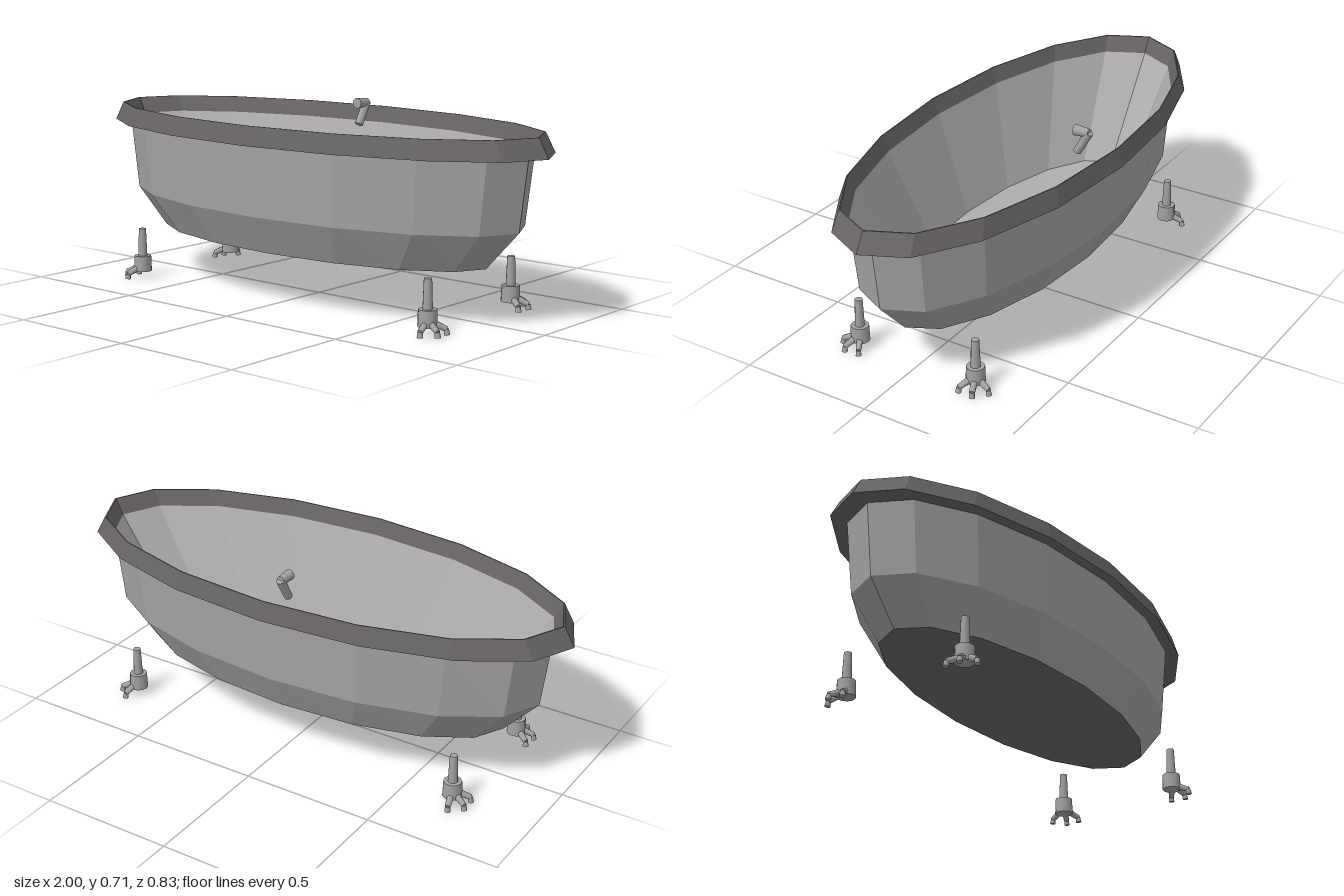
import * as THREE from 'three';

function flatColour(name, color) {
  const material = new THREE.MeshStandardMaterial({ color });
  material.name = name;
  return material;
}
const enamel = flatColour('enamel', 0xa6a4a6);
const innerEnamel = flatColour('innerEnamel', 0xafadaf);
const darkGrey = flatColour('darkGrey', 0x696567);
const metal = flatColour('metal', 0xa2a2a2);

// Faceted oval shell through rings of [half length x, half width z, height y]
function ovalShell(name, rings, material) {
  const sides = 16;
  const profile = rings.map(([rx, , y]) => new THREE.Vector2(rx, y));
  const lathe = new THREE.LatheGeometry(profile, sides);
  const pos = lathe.attributes.position;
  for (let i = 0; i < pos.count; i++) {
    const [rx, rz, y] = rings[i % rings.length];
    const a = (Math.floor(i / rings.length) / sides) * Math.PI * 2;
    pos.setXYZ(i, rx * Math.sin(a), y, rz * Math.cos(a));
  }
  const geometry = lathe.toNonIndexed();
  geometry.computeVertexNormals();
  const mesh = new THREE.Mesh(geometry, material);
  mesh.name = name;
  return mesh;
}

// Tapered rod between two points
function rod(name, from, to, r0, r1, sides = 12) {
  const a = new THREE.Vector3(...from);
  const b = new THREE.Vector3(...to);
  const dir = b.clone().sub(a);
  const mesh = new THREE.Mesh(new THREE.CylinderGeometry(r1, r0, dir.length(), sides), metal);
  mesh.position.copy(a).add(b).multiplyScalar(0.5);
  mesh.quaternion.setFromUnitVectors(new THREE.Vector3(0, 1, 0), dir.normalize());
  mesh.name = name;
  return mesh;
}

// Claw foot: slim shaft, thick ankle and three bent toes pointing outwards
function clawFoot(sx, sz) {
  const foot = new THREE.Group();
  foot.name = 'clawFoot';
  foot.add(rod('shaft', [0, 0.08, 0], [0, 0.193, 0], 0.018, 0.014));
  foot.add(rod('ankle', [0, 0.027, 0], [0, 0.087, 0], 0.035, 0.033));
  for (const degrees of [75, 22, -30]) {
    const a = THREE.MathUtils.degToRad(degrees);
    const at = (r, y) => [sx * r * Math.cos(a), y, sz * r * Math.sin(a)];
    foot.add(rod('toe', at(0.015, 0.042), at(0.066, 0.02), 0.013, 0.01, 8));
    foot.add(rod('toePad', at(0.064, 0.02), at(0.067, 0.001), 0.009, 0.011, 8));
  }
  foot.position.set(sx * 0.692, 0, sz * 0.246);
  return foot;
}

export function createModel() {
  const tub = new THREE.Group();
  tub.name = 'bathtub';

  // Dark underside and outer walls
  tub.add(ovalShell('base', [[0, 0, 0.192], [0.755, 0.286, 0.192]], darkGrey));
  tub.add(ovalShell('outerWall', [
    [0.755, 0.286, 0.192], [0.888, 0.357, 0.333], [0.922, 0.375, 0.6],
  ], enamel));

  // Sloping inner walls and a shallow dished floor
  tub.add(ovalShell('innerWall', [
    [0.925, 0.373, 0.605], [0.67, 0.252, 0.222], [0, 0, 0.205],
  ], innerEnamel));

  // Flared rim with a narrow top edge
  tub.add(ovalShell('rim', [
    [0.915, 0.37, 0.595], [1, 0.414, 0.595], [0.96, 0.397, 0.665],
    [0.955, 0.393, 0.665], [0.925, 0.373, 0.603],
  ], darkGrey));

  // Tap: level handle with a spout slanting down and forward
  const tap = new THREE.Group();
  tap.name = 'tap';
  tap.add(rod('tapHandle', [0, 0.691, -0.277], [0, 0.691, -0.219], 0.016, 0.02));
  tap.add(rod('tapSpout', [0, 0.693, -0.277], [0, 0.61, -0.23], 0.016, 0.016));
  tub.add(tap);

  // Four feet
  for (const sx of [-1, 1]) for (const sz of [-1, 1]) tub.add(clawFoot(sx, sz));
  return tub;
}
